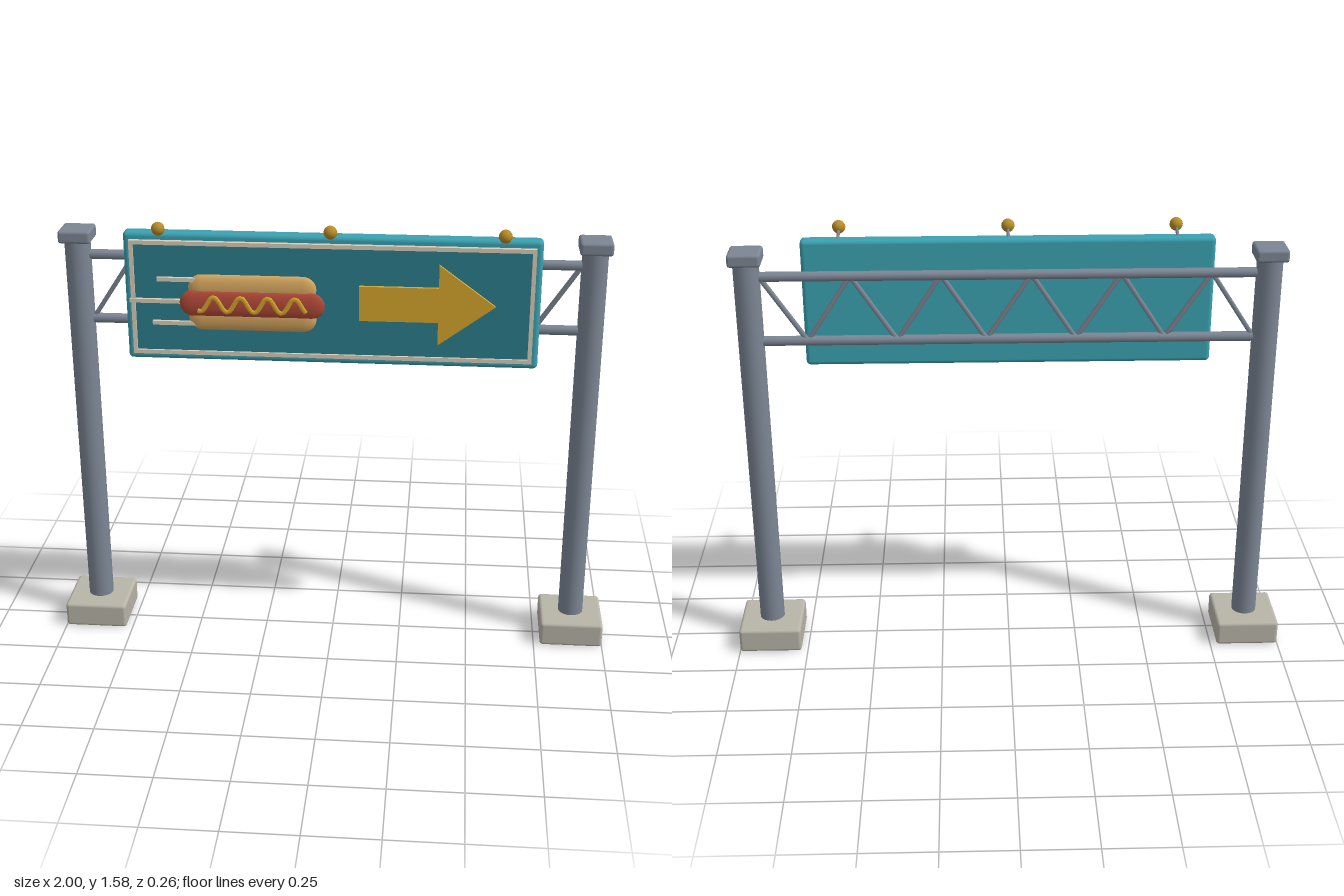
import * as THREE from 'three';
import { RoundedBoxGeometry } from 'three/addons/geometries/RoundedBoxGeometry.js';

const mat = (name, color) => {
  const m = new THREE.MeshStandardMaterial({ color });
  m.name = name;
  return m;
};

export function createModel() {
  const steel = mat('steel', 0x7c8694);
  const concrete = mat('concrete', 0xb8b4a8);
  const teal = mat('teal', 0x3aa2b2);
  const darkTeal = mat('dark teal', 0x2b7d8c);
  const cream = mat('cream', 0xd8cdb8);
  const yellow = mat('yellow', 0xd6a62c);
  const bunTan = mat('bun tan', 0xd8a860);
  const sausageRed = mat('sausage red', 0xb44a38);
  const gold = mat('gold', 0xb88c28);

  const group = new THREE.Group();
  group.name = 'overheadSign';
  const add = (name, geometry, material, x = 0, y = 0, z = 0) => {
    const mesh = new THREE.Mesh(geometry, material);
    mesh.name = name;
    mesh.position.set(x, y, z);
    group.add(mesh);
    return mesh;
  };
  // Round bar between two points
  const bar = (name, a, b, r, material, sides = 8) => {
    const from = new THREE.Vector3(...a), to = new THREE.Vector3(...b);
    const dir = to.clone().sub(from);
    const mid = from.clone().add(to).multiplyScalar(0.5);
    const mesh = add(name, new THREE.CylinderGeometry(r, r, dir.length(), sides), material, mid.x, mid.y, mid.z);
    mesh.quaternion.setFromUnitVectors(new THREE.Vector3(0, 1, 0), dir.normalize());
    return mesh;
  };

  // Posts with footings and caps
  const pz = -0.019, px = 0.886;
  for (const s of [-1, 1]) {
    const side = s > 0 ? 'left' : 'right';
    add(side + 'Footing', new RoundedBoxGeometry(0.227, 0.092, 0.227, 2, 0.012), concrete, s * px, 0.046, pz);
    add(side + 'Post', new THREE.CylinderGeometry(0.045, 0.045, 1.42, 20), steel, s * px, 0.79, pz);
    add(side + 'PostCap', new RoundedBoxGeometry(0.112, 0.045, 0.112, 2, 0.01), steel, s * px, 1.5, pz);
  }

  // Truss: two chords and a zigzag of braces
  const top = 1.428, low = 1.195, bays = 11, span = 0.845;
  for (const y of [top, low]) bar('trussChord', [-px, y, pz], [px, y, pz], 0.017, steel, 10);
  for (let i = 0; i < bays; i++) {
    const x = -span + (2 * span * i) / bays;
    const ys = i % 2 ? [top, low] : [low, top];
    bar('trussBrace', [x, ys[0], pz], [x + (2 * span) / bays, ys[1], pz], 0.009, steel, 6);
  }

  // Sign board and face
  const cy = 1.311;
  add('board', new RoundedBoxGeometry(1.414, 0.455, 0.054, 3, 0.015), teal, 0, cy, 0.05);
  add('facePanel', new THREE.BoxGeometry(1.35, 0.39, 0.009), darkTeal, 0, cy, 0.0805);

  // Trim frame around the face
  const rect = (w, h, Type) => {
    const p = new Type();
    p.moveTo(-w / 2, -h / 2).lineTo(w / 2, -h / 2).lineTo(w / 2, h / 2).lineTo(-w / 2, h / 2).closePath();
    return p;
  };
  const frame = rect(1.37, 0.405, THREE.Shape);
  frame.holes.push(rect(1.342, 0.377, THREE.Path));
  add('trim', new THREE.ExtrudeGeometry(frame, { depth: 0.017, bevelEnabled: false }), cream, 0, cy, 0.076);

  // Arrow
  const arrow = new THREE.Shape([
    [0.096, -0.061], [0.364, -0.061], [0.364, -0.142], [0.556, 0],
    [0.364, 0.142], [0.364, 0.061], [0.096, 0.061],
  ].map(([x, y]) => new THREE.Vector2(x, y)));
  add('arrow', new THREE.ExtrudeGeometry(arrow, { depth: 0.012, bevelEnabled: false }), yellow, 0, cy, 0.085);

  // Hot dog: flattened bun halves and sausage
  const hx = -0.268, hy = 1.3;
  const flatCapsule = (name, length, r, depth, material, y, z) => {
    const g = new THREE.CapsuleGeometry(r, length - 2 * r, 6, 16);
    g.rotateZ(Math.PI / 2).scale(1, 1, depth / r);
    add(name, g, material, hx, y, z);
  };
  for (const s of [-1, 1]) flatCapsule('bunHalf', 0.438, 0.046, 0.016, bunTan, hy + s * 0.053, 0.088);
  flatCapsule('sausage', 0.496, 0.046, 0.014, sausageRed, hy, 0.1);

  // Mustard squiggle
  const wave = [];
  for (let i = 0; i <= 32; i++) {
    const t = i / 32;
    wave.push(new THREE.Vector3(-0.185 + 0.37 * t, -0.026 * Math.cos(t * Math.PI * 8 - 0.6), 0));
  }
  const squiggle = new THREE.TubeGeometry(new THREE.CatmullRomCurve3(wave), 64, 0.009, 6);
  squiggle.scale(1, 1, 0.7);
  add('mustard', squiggle, yellow, hx, hy, 0.1125);

  // Speed streaks
  for (const [x0, x1, y] of [[-0.593, -0.46, 1.38], [-0.69, -0.5, 1.302], [-0.613, -0.46, 1.224]]) {
    add('speedStreak', new THREE.BoxGeometry(x1 - x0, 0.014, 0.012), cream, (x0 + x1) / 2, y, 0.092);
  }

  // Lamps on short arms
  for (const x of [-0.578, 0, 0.578]) {
    bar('lampArm', [x, 1.532, 0.045], [x, 1.56, 0.107], 0.006, steel, 6);
    add('lamp', new THREE.SphereGeometry(0.023, 12, 8), gold, x, 1.561, 0.107);
  }

  return group;
}
